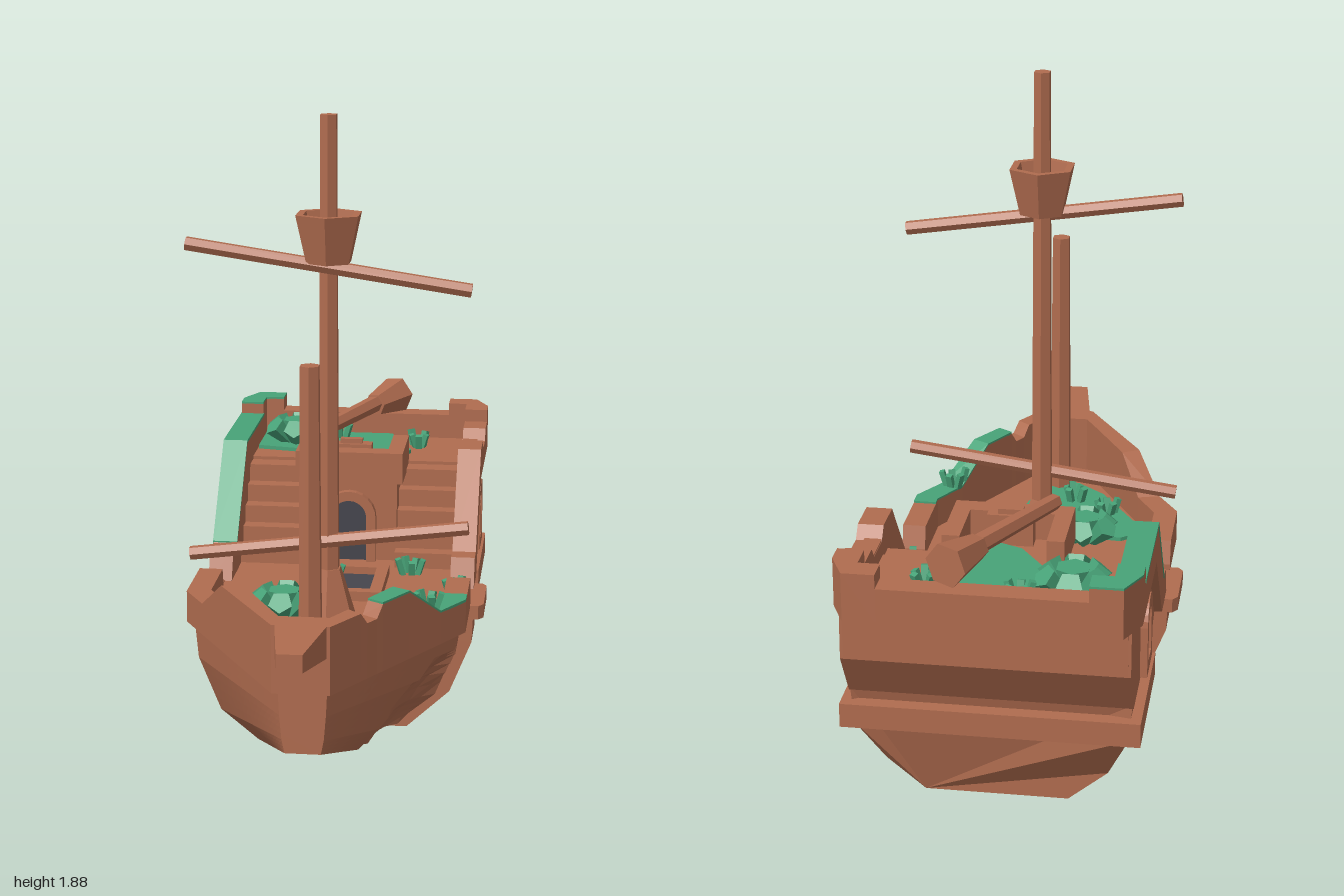
import * as THREE from 'three';

const paint = (name, color) => {
  const m = new THREE.MeshStandardMaterial({ color, flatShading: true });
  m.name = name;
  return m;
};

export function createModel() {
  const wood = paint('wood', 0xb06c4f), moss = paint('moss', 0x48a378);
  const dark = paint('dark opening', 0x45454d), glass = paint('window glass', 0xc2c2ce);
  const ship = new THREE.Group();
  ship.name = 'ship';

  const add = (name, geo, mat = wood, parent = ship) => {
    const m = new THREE.Mesh(geo, mat);
    m.name = name;
    parent.add(m);
    return m;
  };
  // box from min and max corners
  const box = (name, x0, x1, y0, y1, z0, z1, mat) =>
    add(name, new THREE.BoxGeometry(x1 - x0, y1 - y0, z1 - z0)
      .translate((x0 + x1) / 2, (y0 + y1) / 2, (z0 + z1) / 2), mat);
  const shapeOf = pts => new THREE.Shape(pts.map(p => new THREE.Vector2(p[0], p[1])));
  const extrude = (shape, depth) => new THREE.ExtrudeGeometry(shape, { depth, bevelEnabled: false, curveSegments: 6 });
  // side outline (z, y) pushed through x0..x1
  const side = (shape, x0, x1) => extrude(shape, x1 - x0).rotateY(-Math.PI / 2).translate(x1, 0, 0);
  // plan outline (x, z) raised through y0..y1
  const plan = (pts, y0, y1) =>
    extrude(shapeOf(pts.map(([x, z]) => [x, -z])), y1 - y0).rotateX(-Math.PI / 2).translate(0, y0, 0);
  // closed rings joined into a solid, turned outward by its signed volume
  const loft = rings => {
    const pos = rings.flat(2), n = rings[0].length, idx = [];
    for (let r = 0; r < rings.length - 1; r++)
      for (let i = 0; i < n; i++) {
        const a = r * n + i, b = r * n + (i + 1) % n;
        idx.push(a, b, b + n, a, b + n, a + n);
      }
    const e = (rings.length - 1) * n;
    for (let i = 1; i < n - 1; i++) idx.push(0, i + 1, i, e, e + i, e + i + 1);
    const v = i => new THREE.Vector3().fromArray(pos, i * 3);
    let vol = 0;
    for (let i = 0; i < idx.length; i += 3) vol += v(idx[i]).dot(v(idx[i + 1]).cross(v(idx[i + 2])));
    if (vol < 0) idx.reverse();
    const g = new THREE.BufferGeometry();
    g.setAttribute('position', new THREE.Float32BufferAttribute(pos, 3));
    g.setIndex(idx);
    const flat = g.toNonIndexed();
    flat.computeVertexNormals();
    return flat;
  };
  // tapered pole between two points
  const pole = (name, a, b, r0, r1, sides = 6) => {
    const A = new THREE.Vector3(...a), d = new THREE.Vector3(...b).sub(A);
    const m = add(name, new THREE.CylinderGeometry(r1, r0, d.length(), sides));
    m.position.copy(A).addScaledVector(d, 0.5);
    m.quaternion.setFromUnitVectors(new THREE.Vector3(0, 1, 0), d.normalize());
    return m;
  };

  // Hull: half sections (x, y, z) from bow to stern, with a smashed dent on one side
  const sections = [
    [[0.05, 0.21, 0.74], [0.058, 0.25, 0.74], [0.064, 0.32, 0.74], [0.068, 0.4, 0.74]],
    [[0.2, 0.04, 0.23], [0.31, 0.13, 0.23], [0.375, 0.29, 0.23], [0.385, 0.4, 0.23]],
    [[0.2, 0.04, -0.05], [0.31, 0.13, -0.05], [0.375, 0.29, -0.05], [0.385, 0.4, -0.05]],
    [[0.2, 0.04, -0.77], [0.31, 0.13, -0.77], [0.375, 0.29, -0.87], [0.385, 0.4, -0.87]],
  ];
  const mix = (a, b, t) => a.map((v, i) => v + (b[i] - v) * t);
  const subdivide = half => half.slice(0, -1).flatMap((p, i) => [0, 0.25, 0.5, 0.75].map(t => mix(p, half[i + 1], t)))
    .concat([half[3]]);
  const dent = ([x, y, z]) => {
    const d = ((z - 0.26) / 0.21) ** 2 + ((y - 0.12) / 0.21) ** 2;
    return d < 1 ? [x - 0.12 * Math.sqrt(1 - d) * Math.min(1, x / 0.3), y, z] : [x, y, z];
  };
  const rings = [];
  [18, 10, 1].forEach((steps, s) => {
    for (let k = s ? 1 : 0; k <= steps; k++) {
      const half = subdivide(sections[s].map((p, i) => mix(p, sections[s + 1][i], k / steps)));
      rings.push([...half.map(dent), ...half.map(([x, y, z]) => [-x, y, z]).reverse()]);
    }
  });
  add('hull', loft(rings));

  // Midship belt and its caps
  const belt = [[0.22, 0], [0.35, 0.12], [0.415, 0.28], [0.42, 0.392]];
  add('midshipBelt', extrude(shapeOf([...belt, ...belt.map(([x, y]) => [-x, y]).reverse()]), 0.16).translate(0, 0, -0.18));
  for (const s of [-1, 1])
    add('beltCap', plan([[0.36, 0], [0.435, 0], [0.45, -0.02], [0.45, -0.2], [0.435, -0.22], [0.36, -0.22]]
      .map(([x, z]) => [s * x, z]), 0.36, 0.402));

  // Bow bulwarks: outer x, outer z, inner x, inner z, top
  const bow = [
    [0.41, -0.02, 0.34, -0.02, 0.42], [0.41, 0, 0.34, 0, 0.49], [0.41, 0.17, 0.34, 0.17, 0.49],
    [0.41, 0.22, 0.34, 0.2, 0.49], [0.345, 0.33, 0.28, 0.31, 0.49], [0.267, 0.46, 0.216, 0.43, 0.59],
    [0.202, 0.57, 0.157, 0.54, 0.59], [0.188, 0.593, 0.145, 0.562, 0.555], [0.165, 0.632, 0.125, 0.6, 0.555],
    [0.15, 0.657, 0.112, 0.624, 0.59], [0.08, 0.775, 0.07, 0.7, 0.59], [0, 0.775, 0, 0.7, 0.59]];
  const wall = (rows, s, low, high) => loft(rows.map(([ox, oz, ix, iz, t]) =>
    [[s * ox, low(t), oz], [s * ox, high(t), oz], [s * ix, high(t), iz], [s * ix, low(t), iz]]));
  add('bowBulwark', wall(bow, 1, () => 0.395, t => t));
  add('bowBulwark', wall(bow.filter((r, i) => i !== 7 && i !== 8), -1, () => 0.395, t => t));
  add('bowRailMoss', wall(bow.slice(2, 7), 1, t => t - 0.002, t => t + 0.006), moss);
  add('bowsprit', loft([[0.72, 0.07, 0.5], [0.775, 0.07, 0.5], [1, 0.035, 0.54]].map(([z, x, y]) =>
    [[x, y, z], [x, 0.59, z], [-x, 0.59, z], [-x, y, z]])));

  // Stern castle, side walls and wale
  add('sternCastle', side(shapeOf([[-0.62, 0.39], [-0.62, 0.68], [-0.96, 0.68], [-0.96, 0.53], [-0.87, 0.39]]), -0.38, 0.38));
  box('sternWale', -0.41, 0.41, 0.29, 0.36, -0.9, -0.48);
  const sideWall = [[-0.19, 0.39], [-0.22, 0.46], [-0.28, 0.48], [-0.5, 0.73], [-0.955, 0.73], [-0.96, 0.53], [-0.87, 0.39]];
  const railTop = [[-0.2, 0.49], [-0.26, 0.49], [-0.485, 0.76]];
  const notch = [[-0.6, 0.76], [-0.63, 0.725], [-0.73, 0.725], [-0.76, 0.76]];
  const railLow = [[-0.86, 0.76], [-0.86, 0.66], [-0.52, 0.66], [-0.3, 0.4], [-0.16, 0.4]];
  const arch = (w, y0, y1, c = 0) => {
    const p = new THREE.Shape();
    p.moveTo(c - w, y0).lineTo(c + w, y0).lineTo(c + w, y1 - w);
    p.absarc(c, y1 - w, w, 0, Math.PI, false);
    return p;
  };
  for (const s of [-1, 1]) {
    const span = (a, b) => s > 0 ? [a, b] : [-b, -a];
    add('sternSideWall', side(shapeOf(sideWall), ...span(0.34, 0.388)));
    add('sternRail', side(shapeOf([...railTop, ...(s > 0 ? notch : []), ...railLow]), ...span(0.339, 0.412)));
    const corner = [[0.28, -1], [0.37, -1], [0.412, -0.91], [0.412, -0.85], [0.339, -0.85], [0.339, -0.93], [0.28, -0.93]]
      .map(([x, z]) => [s * x, z]);
    add('sternCornerPost', plan(corner, 0.66, 0.8));
    if (s < 0) add('cornerMoss', plan(corner, 0.799, 0.806), moss);
    // arched side windows
    const frame = arch(0.07, 0.4, 0.62, -0.64);
    frame.holes.push(arch(0.04, 0.435, 0.585, -0.64));
    add('windowFrame', side(frame, ...span(0.38, 0.408)));
    add('windowGlass', side(arch(0.042, 0.433, 0.587, -0.64), ...span(0.386, 0.393)), glass);
    // stairs up to the stern deck
    for (let i = 0; i < 5; i++)
      box('stairStep', ...span(0.15, 0.342), 0.395, 0.45 + i * 0.055, -0.63, -0.355 - i * 0.05);
    box('balconySide', ...span(0.12, 0.17), 0.66, 0.76, -0.64, -0.45);
  }
  box('sternBackRail', -0.285, 0.285, 0.66, 0.76, -1, -0.93);
  const mossPath = [[-0.262, 0.49], [-0.487, 0.76], [-0.86, 0.76]];
  add('sternRailMoss', side(shapeOf([...mossPath.map(([z, y]) => [z, y + 0.007]),
    ...mossPath.map(([z, y]) => [z, y - 0.002]).reverse()]), -0.414, -0.337), moss);

  // Cabin front with balcony and arched door
  box('cabin', -0.15, 0.15, 0.395, 0.68, -0.64, -0.43);
  box('balconyFront', -0.17, 0.17, 0.66, 0.76, -0.46, -0.4);
  const doorFrame = arch(0.085, 0.4, 0.63);
  doorFrame.holes.push(arch(0.055, 0.4, 0.6));
  add('doorFrame', extrude(doorFrame, 0.03).translate(0, 0, -0.435));
  add('doorOpening', extrude(arch(0.057, 0.4, 0.602), 0.006).translate(0, 0, -0.431), dark);
  box('spyMount', -0.065, 0.065, 0.68, 0.77, -0.51, -0.465);
  box('spyMountTop', -0.035, 0.035, 0.76, 0.785, -0.5, -0.475);

  // Cargo hatch
  box('hatchOpening', -0.105, 0.105, 0.4, 0.407, -0.26, -0.04, dark);
  for (const s of [-1, 1]) {
    box('hatchRim', s * 0.1225 - 0.0185, s * 0.1225 + 0.0185, 0.4, 0.43, -0.29, -0.01);
    box('hatchRim', -0.105, 0.105, 0.4, 0.43, -0.15 + s * 0.1225 - 0.0175, -0.15 + s * 0.1225 + 0.0175);
  }

  // Masts, yards, lookout and the fallen spar
  pole('mainMast', [0, 0.4, 0.13], [0, 1.88, 0.13], 0.034, 0.026);
  pole('mainMastFoot', [0, 0.4, 0.13], [0, 0.55, 0.13], 0.085, 0.038);
  pole('foreMast', [0, 0.4, 0.565], [0, 1.255, 0.565], 0.036, 0.029);
  pole('upperYard', [-0.41, 1.51, 0.15], [0.41, 1.39, 0.15], 0.021, 0.021);
  pole('lowerYard', [-0.41, 0.585, 0.15], [0.41, 0.69, 0.15], 0.021, 0.021);
  const nest = [[0, 1.46], [0.07, 1.46], [0.103, 1.6], [0.08, 1.6], [0.058, 1.5], [0, 1.5]];
  add('lookout', new THREE.LatheGeometry(nest.map(p => new THREE.Vector2(...p)), 6).translate(0, 0, 0.13));
  pole('fallenSpar', [-0.12, 0.8, -0.46], [0.045, 0.82, -0.83], 0.023, 0.028);
  pole('fallenSparHead', [0.04, 0.815, -0.82], [0.1, 0.82, -0.96], 0.037, 0.062);

  // Moss patches
  add('bowMoss', plan([[-0.31, 0.23], [-0.24, 0.17], [-0.02, 0.19], [0.04, 0.25], [0.09, 0.37], [0.06, 0.52],
    [0.02, 0.59], [-0.06, 0.58], [-0.15, 0.5]], 0.4, 0.412), moss);
  add('sternMoss', plan([[-0.335, -0.925], [0.09, -0.925], [0.17, -0.72], [0.13, -0.57], [0.05, -0.51], [-0.04, -0.55],
    [-0.13, -0.68], [-0.335, -0.72]], 0.68, 0.692), moss);

  // Leafy bushes: a rosette of faceted leaves
  for (const [x, y, z] of [[-0.215, 0.69, -0.8], [-0.13, 0.41, 0.155]]) {
    const bush = new THREE.Group();
    bush.name = 'bush';
    bush.position.set(x, y, z);
    ship.add(bush);
    add('bushCore', new THREE.CylinderGeometry(0.05, 0.03, 0.075, 6).translate(0, 0.037, 0), moss, bush);
    for (let i = 0; i < 6; i++)
      add('bushLeaf', new THREE.CylinderGeometry(0.037, 0.018, 0.085, 5).translate(0, 0.042, 0)
        .rotateX(0.75).translate(0, 0, 0.028).rotateY(i * Math.PI / 3), moss, bush);
  }

  // Grass tufts
  const tufts = [[-0.08, 0.69, -0.86], [0.19, 0.68, -0.8], [0.21, 0.4, -0.3], [0.36, 0.4, -0.115], [-0.04, 0.405, -0.19],
    [-0.18, 0.41, 0.35], [-0.06, 0.41, 0.45], [0.31, 0.495, 0.31]];
  tufts.forEach(([x, y, z], t) => {
    const tuft = new THREE.Group();
    tuft.name = 'grassTuft';
    tuft.position.set(x, y, z);
    tuft.rotation.y = t * 1.3;
    ship.add(tuft);
    for (let i = 0; i < 5; i++)
      add('grassBlade', new THREE.BoxGeometry(0.02, 0.045 + 0.008 * (i % 3), 0.016).translate(0, 0.024, 0)
        .rotateX(0.3).translate(0, 0, 0.012 + 0.009 * (i % 3)).rotateY(i * 1.26), moss, tuft);
  });
  return ship;
}
